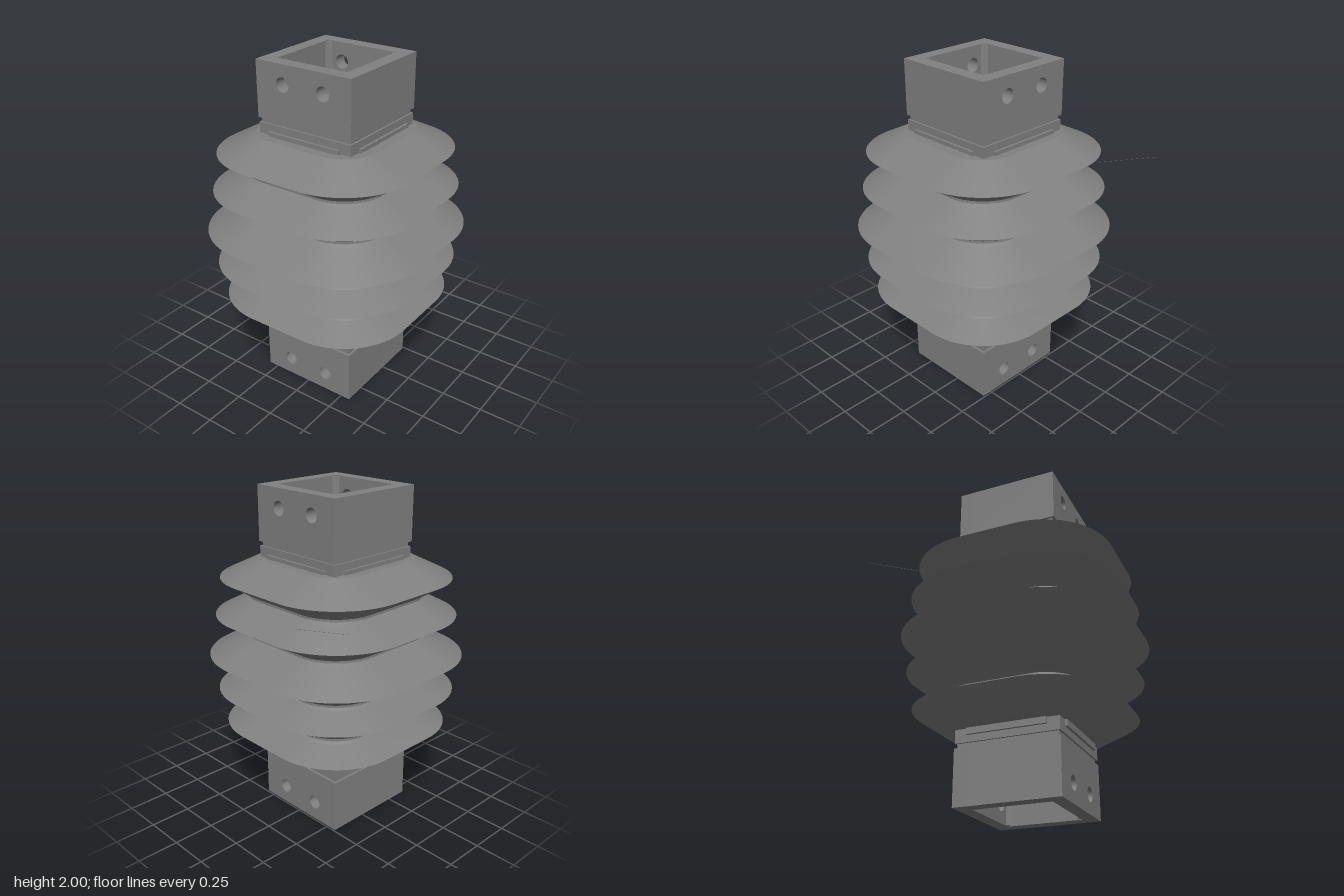
import * as THREE from 'three';

const grey = new THREE.MeshStandardMaterial({ color: 0x808080 });
grey.name = 'grey';
const greyShell = new THREE.MeshStandardMaterial({ color: 0x808080, side: THREE.DoubleSide });
greyShell.name = 'grey shell';

function add(group, name, geometry, x = 0, y = 0, z = 0, material = grey) {
  const mesh = new THREE.Mesh(geometry, material);
  mesh.name = name;
  mesh.position.set(x, y, z);
  group.add(mesh);
  return mesh;
}

const rectangle = (w, h) => new THREE.Shape([
  new THREE.Vector2(-w / 2, -h / 2), new THREE.Vector2(w / 2, -h / 2),
  new THREE.Vector2(w / 2, h / 2), new THREE.Vector2(-w / 2, h / 2)]);

// Square frame lying flat, with an optionally shifted square opening
function frame(outer, inner, y0, y1, shiftX = 0) {
  const s = rectangle(outer * 2, outer * 2);
  const a = inner;
  s.holes.push(new THREE.Path([
    new THREE.Vector2(shiftX - a, -a), new THREE.Vector2(shiftX - a, a),
    new THREE.Vector2(shiftX + a, a), new THREE.Vector2(shiftX + a, -a)]));
  const g = new THREE.ExtrudeGeometry(s, { depth: y1 - y0, bevelEnabled: false });
  return g.rotateX(-Math.PI / 2).translate(0, y0, 0);
}

// Hollow square coupling; its open end is at y = 0
function coupling(name, shiftX) {
  const group = new THREE.Group();
  group.name = name;
  const H = 0.31, T = 0.082, L = 0.325;

  // Front and back walls with two bolt holes each
  const wall = rectangle(2 * H, L);
  for (const x of [-0.132, 0.132]) {
    const hole = new THREE.Path();
    hole.absarc(x, 0.113 - L / 2, 0.042, 0, Math.PI * 2, true);
    wall.holes.push(hole);
  }
  const wallGeometry = new THREE.ExtrudeGeometry(wall, { depth: T, bevelEnabled: false, curveSegments: 24 });
  add(group, 'frontWall', wallGeometry, 0, L / 2, H - T);
  add(group, 'backWall', wallGeometry, 0, L / 2, -H);

  // Plain side walls and softened inner corners
  for (const s of [-1, 1]) {
    add(group, 'sideWall', new THREE.BoxGeometry(T, L, 2 * (H - T)), s * (H - T / 2), L / 2, 0);
    for (const t of [-1, 1]) {
      const fillet = add(group, 'cornerFillet', new THREE.BoxGeometry(0.04, L - 0.01, 0.04),
        s * (H - T), L / 2, t * (H - T));
      fillet.rotation.y = Math.PI / 4;
    }
  }

  // Groove, collar and inner ledge
  add(group, 'groove', frame(0.296, 0.175, L, 0.352, shiftX));
  add(group, 'collar', frame(0.307, 0.175, 0.352, 0.44, shiftX));

  // Raised rails on the four sides of the collar
  for (let i = 0; i < 4; i++) {
    const pivot = new THREE.Group();
    pivot.name = 'collarRail';
    pivot.rotation.y = i * Math.PI / 2;
    add(pivot, 'rail', new THREE.BoxGeometry(0.47, 0.038, 0.016), 0, 0.412, 0.314);
    group.add(pivot);
  }
  return group;
}

// Rounded square loop: a fixed square core grown outward to the given half width
function loop(half, y) {
  const core = 0.18, r = half - core, n = 20, pts = [];
  for (let c = 0; c < 4; c++) {
    const base = c * Math.PI / 2, mid = base + Math.PI / 4;
    const cx = Math.sign(Math.cos(mid)) * core, cz = Math.sign(Math.sin(mid)) * core;
    for (let i = 0; i <= n; i++) {
      const a = base + i / n * Math.PI / 2;
      pts.push(cx + r * Math.cos(a), y, cz + r * Math.sin(a));
    }
  }
  return pts;
}

// Strip between two loops, given from the top down
function strip([h0, y0], [h1, y1]) {
  const a = loop(h0, y0), b = loop(h1, y1), n = a.length / 3, index = [];
  for (let i = 0; i < n; i++) {
    const j = (i + 1) % n;
    index.push(i, j, n + i, j, n + j, n + i);
  }
  const g = new THREE.BufferGeometry();
  g.setAttribute('position', new THREE.Float32BufferAttribute([...a, ...b], 3));
  g.setIndex(index);
  g.computeVertexNormals();
  return g;
}

export function createModel() {
  const model = new THREE.Group();
  model.name = 'bellowsCoupling';

  const lower = coupling('lowerCoupling', 0.01);
  lower.position.z = 0.07;
  const upper = coupling('upperCoupling', -0.01);
  upper.rotation.z = Math.PI;
  upper.position.set(0, 2, 0.06);
  model.add(lower, upper);

  // Bellows: sharp ridges alternating with narrow rounded valleys
  const ridges = [[0.603, 1.475], [0.638, 1.25], [0.685, 1.003], [0.64, 0.78], [0.597, 0.555]];
  const valleys = [[0.435, 1.366], [0.45, 1.135], [0.445, 0.867], [0.41, 0.64]];
  const profile = [[0.322, 1.585], [0.38, 1.585]];
  ridges.forEach((ridge, i) => {
    profile.push(ridge);
    if (!valleys[i]) return;
    const [v, y] = valleys[i];
    profile.push([v + 0.018, y + 0.018], [v, y + 0.007], [v, y - 0.007], [v + 0.018, y - 0.018]);
  });
  profile.push([0.375, 0.43], [0.322, 0.43]);

  const bellows = new THREE.Group();
  bellows.name = 'bellows';
  bellows.position.z = 0.067;
  for (let i = 0; i < profile.length - 1; i++) {
    // Winding faces outward for loops running from +x toward +z
    add(bellows, 'bellowsFold', strip(profile[i], profile[i + 1]), 0, 0, 0, greyShell);
  }
  model.add(bellows);

  // Hair-thin loose thread at the back
  const thread = new THREE.LineCurve3(new THREE.Vector3(-0.52, 1.35, -0.36), new THREE.Vector3(-0.56, 1.49, -0.75));
  add(model, 'looseThread', new THREE.TubeGeometry(thread, 1, 0.0008, 3));
  return model;
}
